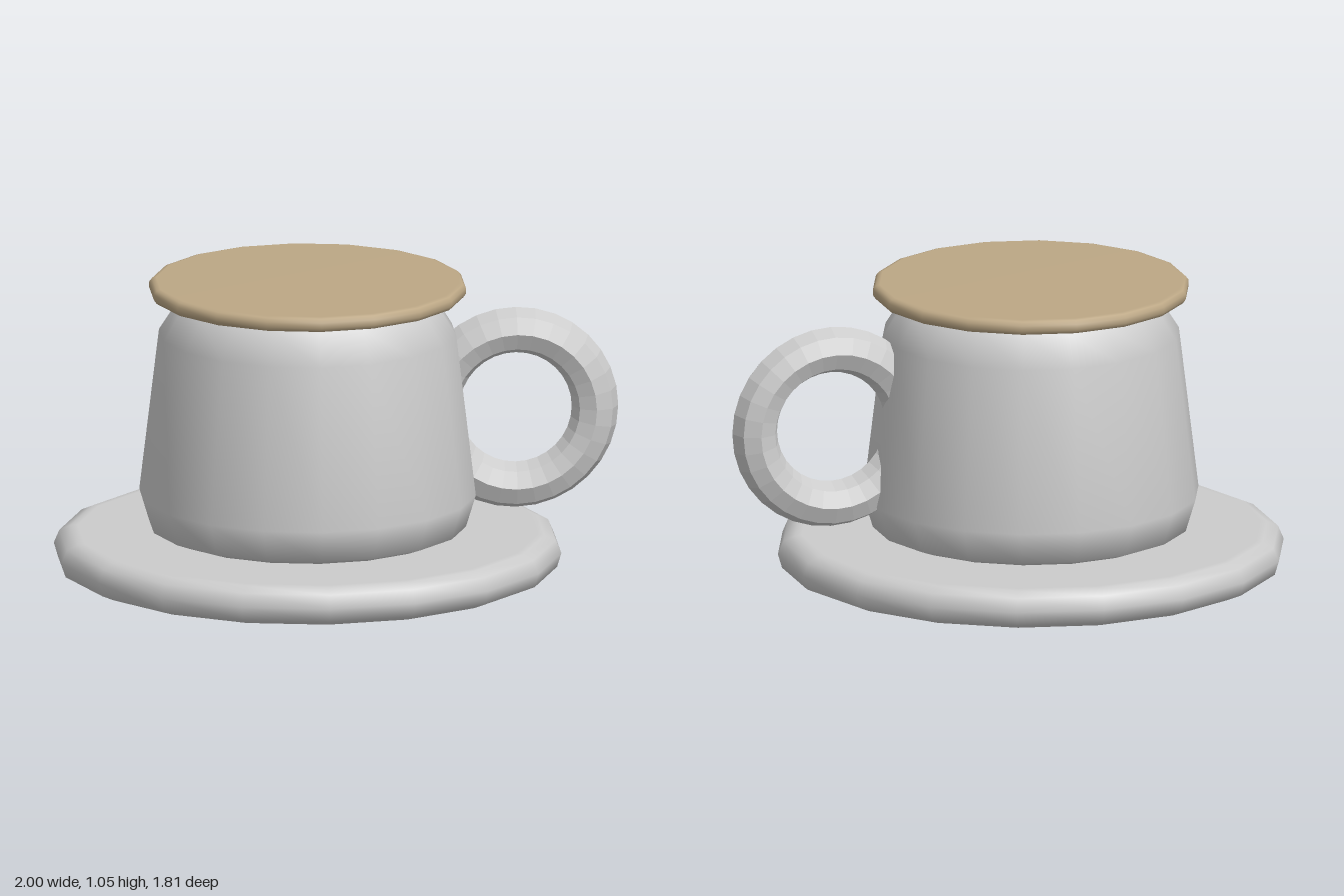
import * as THREE from 'three';

const SIDES = 18;
const AXIS_X = -0.11; // cup, saucer and lid share this axis

// Turned part from [radius, height] pairs, bottom to top
function turned(name, profile, material) {
  const points = profile.map(([r, y]) => new THREE.Vector2(r, y));
  const mesh = new THREE.Mesh(new THREE.LatheGeometry(points, SIDES), material);
  mesh.name = name;
  mesh.position.x = AXIS_X;
  return mesh;
}

export function createModel() {
  const group = new THREE.Group();
  group.name = 'cupAndSaucer';
  const grey = new THREE.MeshStandardMaterial({ color: 0xcccccc });
  const greyFlat = new THREE.MeshStandardMaterial({ color: 0xcccccc, flatShading: true });
  const tan = new THREE.MeshStandardMaterial({ color: 0xbca785 });

  // Flat saucer with a rounded rim
  group.add(turned('saucer', [
    [0, 0], [0.82, 0], [0.84, 0.003], [0.89, 0.025], [0.905, 0.075],
    [0.885, 0.122], [0.845, 0.14], [0.82, 0.142], [0, 0.142],
  ], grey));

  // Tapered cup with rounded shoulder and foot
  group.add(turned('cup', [
    [0, 0.138], [0.5, 0.14], [0.565, 0.165], [0.6, 0.28],
    [0.53, 0.865], [0.46, 0.975], [0.4, 1.0], [0, 1.004],
  ], grey));

  // Thin lid overhanging the cup
  group.add(turned('lid', [
    [0, 1.0], [0.54, 1.0], [0.555, 1.004], [0.565, 1.018],
    [0.565, 1.038], [0.555, 1.051], [0.54, 1.055], [0, 1.055],
  ], tan));

  // Ring handle, sunk into the side of the cup
  const handle = new THREE.Mesh(new THREE.TorusGeometry(0.283, 0.083, 8, 32), greyFlat);
  handle.name = 'handle';
  handle.position.set(0.632, 0.575, 0);
  group.add(handle);

  return group;
}
